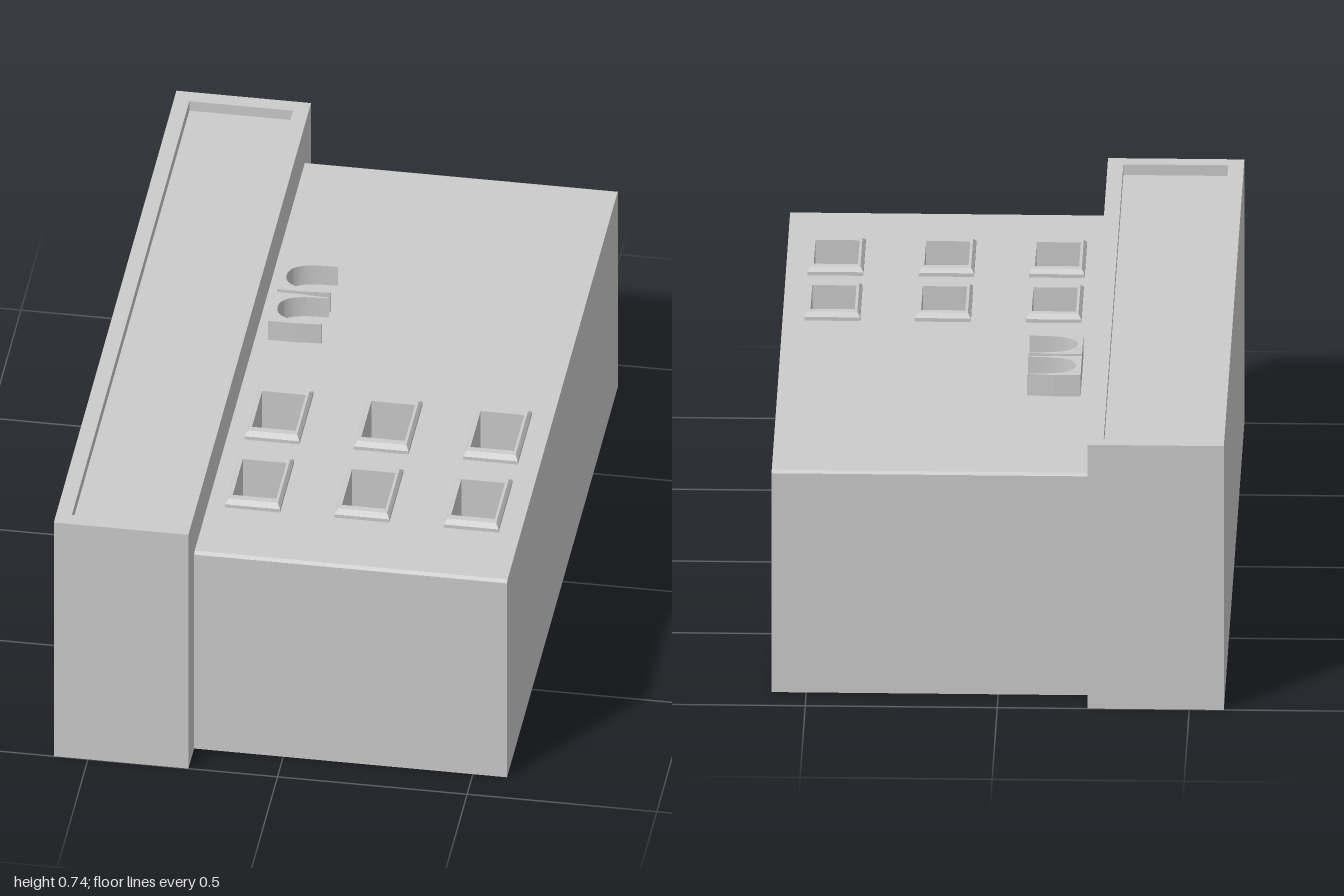
import * as THREE from 'three';

const material = new THREE.MeshStandardMaterial({ color: 0xcccccc, flatShading: true });

// Rectangle in plan; plan y becomes -z once extruded upwards.
function rect(x0, x1, z0, z1, Type = THREE.Shape) {
  return new Type([[x0, -z0], [x0, -z1], [x1, -z1], [x1, -z0]].map(([x, y]) => new THREE.Vector2(x, y)));
}

// Extrude a plan shape from y0 to y1.
function extrudeUp(shape, y0, y1, steps = 1) {
  return new THREE.ExtrudeGeometry(shape, { depth: y1 - y0, steps, bevelEnabled: false, curveSegments: 16 })
    .rotateX(-Math.PI / 2).translate(0, y0, 0);
}

// Pull the outer top edge inwards to make a chamfer.
function chamferTop(geometry, y, halfX, halfZ, dx, dz) {
  const p = geometry.attributes.position;
  for (let i = 0; i < p.count; i++) {
    if (p.getY(i) < y - 1e-4) continue;
    const x = p.getX(i), z = p.getZ(i);
    if (Math.abs(x) > halfX - 1e-4) p.setX(i, x - Math.sign(x) * dx);
    if (Math.abs(z) > halfZ - 1e-4) p.setZ(i, z - Math.sign(z) * dz);
  }
  geometry.computeVertexNormals();
  return geometry;
}

export function createModel() {
  const group = new THREE.Group();
  const add = (name, geometry, x = 0, y = 0, z = 0) => {
    const mesh = new THREE.Mesh(geometry, material);
    mesh.name = name;
    mesh.position.set(x, y, z);
    group.add(mesh);
  };

  // Tall facade block with a parapet around a sunken roof
  const [fx0, fx1, fh, sunk] = [-0.59, -0.235, 0.74, 0.03];
  add('facadeBlock', new THREE.BoxGeometry(fx1 - fx0, fh - sunk, 2), (fx0 + fx1) / 2, (fh - sunk) / 2, 0);
  const parapet = rect(fx0, fx1, -1, 1);
  parapet.holes.push(rect(fx0 + 0.041, fx1 - 0.041, -0.958, 0.958, THREE.Path));
  add('parapet', extrudeUp(parapet, fh - sunk, fh));

  // Main hall, with skylight wells cut into its roof
  const [hx0, hx1, hz, hh, wellY] = [-0.235, 0.59, 0.907, 0.62, 0.47];
  add('hall', new THREE.BoxGeometry(hx1 - hx0, wellY, hz * 2), (hx0 + hx1) / 2, wellY / 2, 0);
  const [wellX, wellZ] = [0.0575, 0.083];
  const roof = rect(hx0, hx1, -hz, hz);
  const skylights = [];
  for (const x of [-0.116, 0.172, 0.46]) for (const z of [0.26, 0.575]) skylights.push([x, z]);
  for (const [x, z] of skylights) roof.holes.push(rect(x - wellX, x + wellX, z - wellZ, z + wellZ, THREE.Path));
  add('hallRoof', chamferTop(extrudeUp(roof, wellY, hh, 25), hh, 9, hz, 0, 0.01));

  // Raised skylight frames with chamfered rims
  const [outX, outZ] = [0.0725, 0.115];
  const frame = rect(-outX, outX, -outZ, outZ);
  frame.holes.push(rect(-wellX, wellX, -wellZ, wellZ, THREE.Path));
  const frameGeometry = chamferTop(extrudeUp(frame, 0, 0.02, 2), 0.02, outX, outZ, 0.008, 0.014);
  for (const [x, z] of skylights) add('skylightFrame', frameGeometry, x, hh, z);

  // Pair of U-shaped roof screens, open away from the facade
  const screen = new THREE.Shape();
  screen.moveTo(-0.2, -0.067);
  screen.lineTo(-0.13, -0.067);
  screen.lineTo(-0.06, -0.062);
  screen.lineTo(-0.06, -0.058);
  screen.bezierCurveTo(-0.13, -0.058, -0.186, -0.052, -0.186, 0);
  screen.bezierCurveTo(-0.186, 0.052, -0.13, 0.058, -0.06, 0.058);
  screen.lineTo(-0.06, 0.062);
  screen.lineTo(-0.13, 0.067);
  screen.lineTo(-0.2, 0.067);
  screen.closePath();
  const screenGeometry = extrudeUp(screen, 0, 0.06);
  for (const z of [-0.299, -0.152]) add('roofScreen', screenGeometry, 0, hh, z);

  return group;
}
